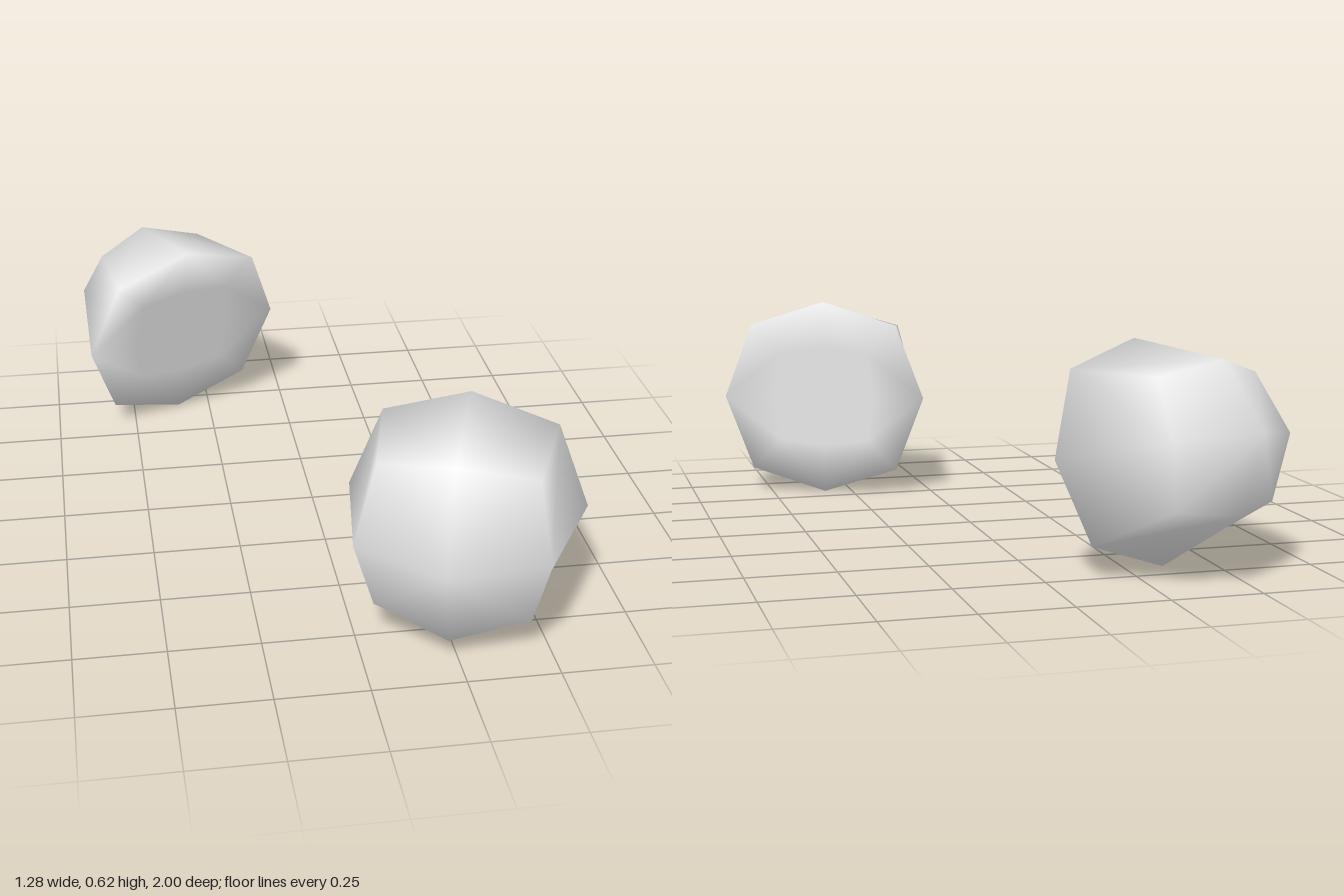
import * as THREE from 'three';

const grey = new THREE.MeshStandardMaterial({ color: 0xe7e7e7 });
grey.name = 'light grey';

// Eight-sided rings from the flat face to the shoulder:
// [half width, half height, diagonal x and y, depth of middles, depth of diagonals, normal tilt]
const base = [
  [0.165, 0.16, 0.142, 0, 0, -1],
  [0.324, 0.31, 0.235, 0, 0, -0.5],
];
const wideShoulder = [0.255, 0.257, 0.209, 0.328, 0.265, 0.75];
const narrowShoulder = [0.206, 0.202, 0.172, 0.328, 0.265, 0.75];
const tipDepth = 0.44;

// Smooth half-dome: flat face on local z = 0, rounded side towards +z
function domeGeometry(shoulder) {
  const rings = [...base, shoulder];
  const pos = [0, 0, 0];
  const normal = [0, 0, -1];
  const index = [];
  for (const [w, h, d, zMid, zDiag, tilt] of rings) {
    const spread = Math.sqrt(1 - tilt * tilt);
    for (let i = 0; i < 8; i++) {
      const c = Math.cos(i * Math.PI / 4);
      const s = Math.sin(i * Math.PI / 4);
      if (i % 2) pos.push(Math.sign(c) * d, Math.sign(s) * d, zDiag);
      else pos.push(c * w, s * h, zMid);
      normal.push(c * spread, s * spread, tilt);
    }
  }
  pos.push(0, 0, tipDepth);
  normal.push(0, 0, 1);
  const tip = 1 + rings.length * 8;
  for (let i = 0; i < 8; i++) {
    const j = (i + 1) % 8;
    index.push(0, 1 + j, 1 + i);
    for (let r = 0; r < rings.length - 1; r++) {
      const a = 1 + r * 8 + i, b = 1 + r * 8 + j;
      // diagonals mirror on alternate sides
      if (i % 2) index.push(a, b, b + 8, a, b + 8, a + 8);
      else index.push(a, b, a + 8, b, b + 8, a + 8);
    }
    index.push(tip - 8 + i, tip - 8 + j, tip);
  }
  const g = new THREE.BufferGeometry();
  g.setAttribute('position', new THREE.Float32BufferAttribute(pos, 3));
  g.setAttribute('normal', new THREE.Float32BufferAttribute(normal, 3));
  g.setIndex(index);
  return g;
}

// Place a dome by the centre of its flat face, its outward axis and its up axis
function placeDome(name, shoulder, centre, axis, up) {
  const z = new THREE.Vector3(...axis).normalize();
  const x = new THREE.Vector3(...up).cross(z).normalize();
  const y = z.clone().cross(x);
  const mesh = new THREE.Mesh(domeGeometry(shoulder), grey);
  mesh.name = name;
  mesh.quaternion.setFromRotationMatrix(new THREE.Matrix4().makeBasis(x, y, z));
  mesh.position.set(...centre);
  return mesh;
}

export function createModel() {
  const group = new THREE.Group();
  group.name = 'domePair';
  group.add(
    placeDome('frontDome', wideShoulder, [0.335, 0.31, 0.58], [-0.34, 0, 0.94], [0, 1, 0]),
    placeDome('backDome', narrowShoulder, [-0.333, 0.305, -0.607], [-0.357, 0.246, -0.901], [0.0175, 0.3, 0.075]),
  );
  return group;
}
